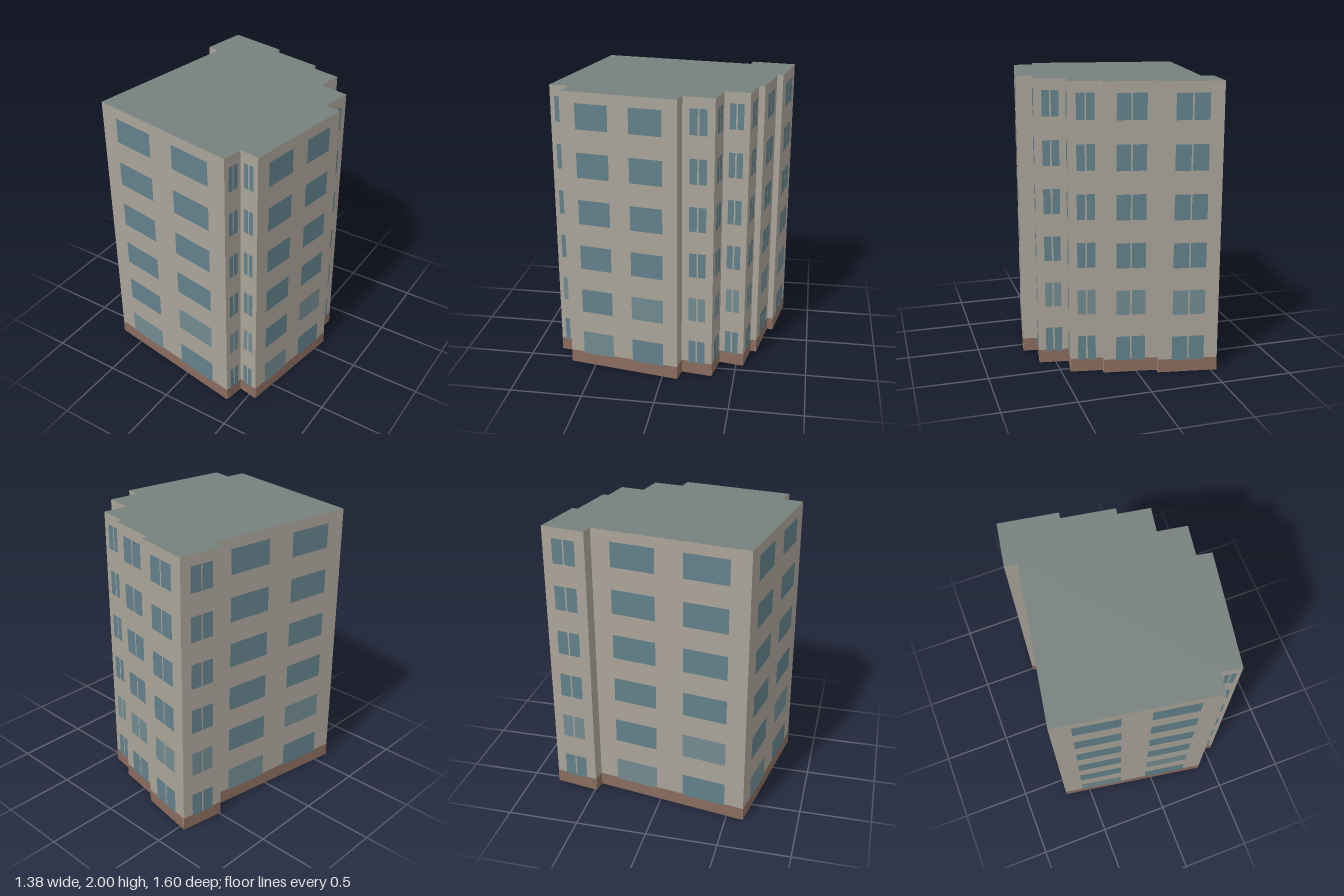
import * as THREE from 'three';
import { mergeGeometries } from 'three/addons/utils/BufferGeometryUtils.js';

// Footprint corners [x, z], anticlockwise from above, so each wall runs left to right seen from outside
const OUTLINE = [
  [-0.69, 0.62], [0.392, 0.798], [0.416, 0.655], [0.555, 0.68], [0.685, -0.108], [0.58, -0.126],
  [0.612, -0.342], [0.408, -0.376], [0.437, -0.55], [0.215, -0.587], [0.222, -0.629], [-0.143, -0.69],
  [-0.136, -0.732], [-0.543, -0.8], [-0.595, -0.49], [-0.508, -0.476],
];
const HEIGHT = 2, BASE_HEIGHT = 0.095;
const FLOORS = 6, FLOOR_PITCH = 0.333, SILL = 0.086, WINDOW_HEIGHT = 0.175;
const PANE_GAP = 0.011;

// Upright rectangle lying on the wall a-b, from distance s0 to s1 along it
function panel(a, b, s0, s1, y0, y1, offset = 0) {
  const length = Math.hypot(b[0] - a[0], b[1] - a[1]);
  const dx = (b[0] - a[0]) / length, dz = (b[1] - a[1]) / length;
  const mid = (s0 + s1) / 2;
  return new THREE.PlaneGeometry(s1 - s0, y1 - y0)
    .rotateY(Math.atan2(-dz, dx))
    .translate(a[0] + dx * mid - dz * offset, (y0 + y1) / 2, a[1] + dz * mid + dx * offset);
}

// Window bays of a wall as lists of panes [start, end]
function windowBays(length) {
  if (length < 0.12) return [];
  if (length > 0.6) return [[[0.125 * length, 0.41 * length]], [[0.59 * length, 0.875 * length]]];
  const half = length / 2, g = PANE_GAP / 2;
  return [[[0.23 * length, half - g], [half + g, 0.77 * length]]];
}

export function createModel() {
  const group = new THREE.Group();
  group.name = 'apartmentBlock';
  const add = (name, geometries, color, side = THREE.FrontSide) => {
    const material = new THREE.MeshStandardMaterial({ color, side });
    const mesh = new THREE.Mesh(mergeGeometries(geometries), material);
    mesh.name = name;
    group.add(mesh);
  };

  const walls = [], base = [], windows = [], litWindows = [];
  OUTLINE.forEach((a, i) => {
    const b = OUTLINE[(i + 1) % OUTLINE.length];
    const length = Math.hypot(b[0] - a[0], b[1] - a[1]);
    walls.push(panel(a, b, 0, length, 0, HEIGHT));
    base.push(panel(a, b, 0, length, 0, BASE_HEIGHT, 0.002));

    // Same window layout on every floor, a few panes slightly lighter
    const bays = windowBays(length);
    for (let floor = 0; floor < FLOORS; floor++) {
      const y = SILL + floor * FLOOR_PITCH;
      bays.forEach((panes, bay) => {
        const lit = (floor === 1 && bay === bays.length - 1) || (floor === 0 && bays.length > 1 && bay === 0);
        for (const [s0, s1] of panes) {
          (lit ? litWindows : windows).push(panel(a, b, s0, s1, y, y + WINDOW_HEIGHT, 0.004));
        }
      });
    }
  });

  // Flat roof; the underside stays open
  const shape = new THREE.Shape(OUTLINE.map(([x, z]) => new THREE.Vector2(x, -z)));
  const roof = new THREE.ShapeGeometry(shape).rotateX(-Math.PI / 2).translate(0, HEIGHT, 0);

  add('walls', walls, 0xaaa499, THREE.DoubleSide);
  add('baseBand', base, 0x8a6c5e);
  add('windows', windows, 0x62808a);
  add('lighterWindows', litWindows, 0x728a90);
  add('roof', [roof], 0x76807c, THREE.DoubleSide);
  return group;
}
